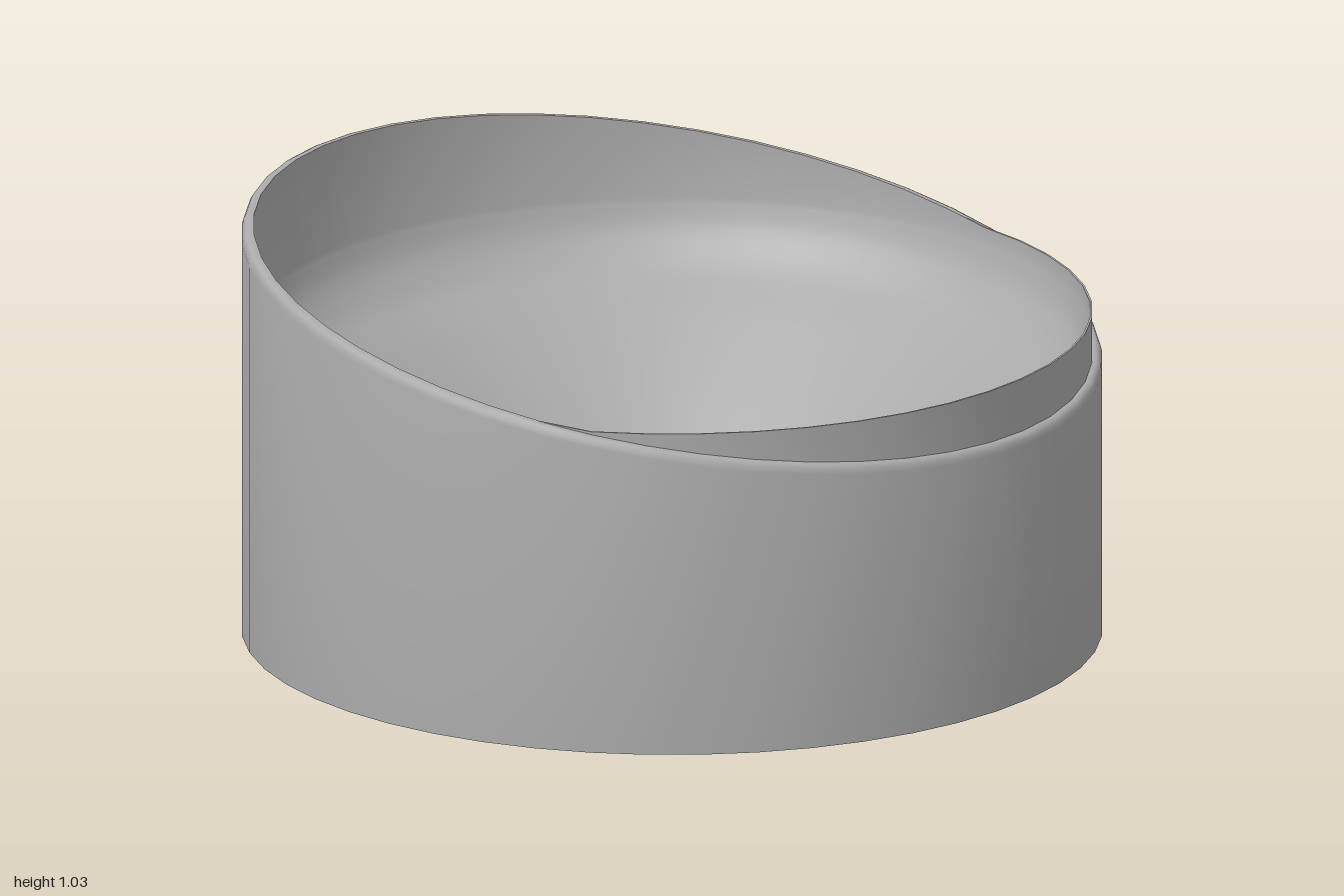
import * as THREE from 'three';
import { toCreasedNormals } from 'three/addons/utils/BufferGeometryUtils.js';

const SEGMENTS = 48;
const COLLAR_TOP = 0.797;

// Height of the slanted lip around the cup
const lip = (sin, cos) => 0.85 - 0.17 * sin - 0.06 * cos;
// The inner liner stays level where the lip dips below it
const liner = (sin, cos) => Math.max(COLLAR_TOP, lip(sin, cos));

// Revolve a profile of [radius, height]; a height may be a function of direction
function revolve(name, profile, material) {
  let geometry = new THREE.LatheGeometry(profile.map(([r]) => new THREE.Vector2(r, 0)), SEGMENTS);
  const pos = geometry.attributes.position;
  for (let i = 0; i < pos.count; i++) {
    const a = (Math.floor(i / profile.length) / SEGMENTS) * Math.PI * 2;
    const y = profile[i % profile.length][1];
    pos.setY(i, typeof y === 'function' ? y(Math.sin(a), Math.cos(a)) : y);
  }
  geometry = toCreasedNormals(geometry, 0.8);
  const mesh = new THREE.Mesh(geometry, material);
  mesh.name = name;
  return mesh;
}

export function createModel() {
  const model = new THREE.Group();
  model.name = 'slantedBowl';
  const grey = new THREE.MeshStandardMaterial({ color: 0xaaaaaa });
  const below = (d) => (s, c) => lip(s, c) - d;

  // Slightly domed underside
  model.add(revolve('base', [
    [0, 0.002], [0.2, 0.003], [0.4, 0.006], [0.6, 0.011], [0.8, 0.018], [1, 0.025],
  ], grey));

  // Outer wall with a rounded, slanted lip
  model.add(revolve('outerWall', [
    [1, 0.025], [1, below(0.024)], [0.997, below(0.012)], [0.992, below(0.003)],
    [0.985, lip], [0.977, lip],
  ], grey));

  // Level collar, inner wall and rounded bowl floor
  const floor = new THREE.SplineCurve([
    [0.97, 0.77], [0.945, 0.7], [0.89, 0.632], [0.83, 0.588], [0.76, 0.54],
    [0.6, 0.42], [0.45, 0.3], [0.3, 0.19], [0.15, 0.11], [0, 0.08],
  ].map(([r, y]) => new THREE.Vector2(r, y))).getPoints(36).map((p) => [Math.max(p.x, 0), p.y]);
  model.add(revolve('innerBowl', [
    [0.977, below(0.02)], [0.977, liner], [0.972, liner], ...floor,
  ], grey));

  return model;
}
